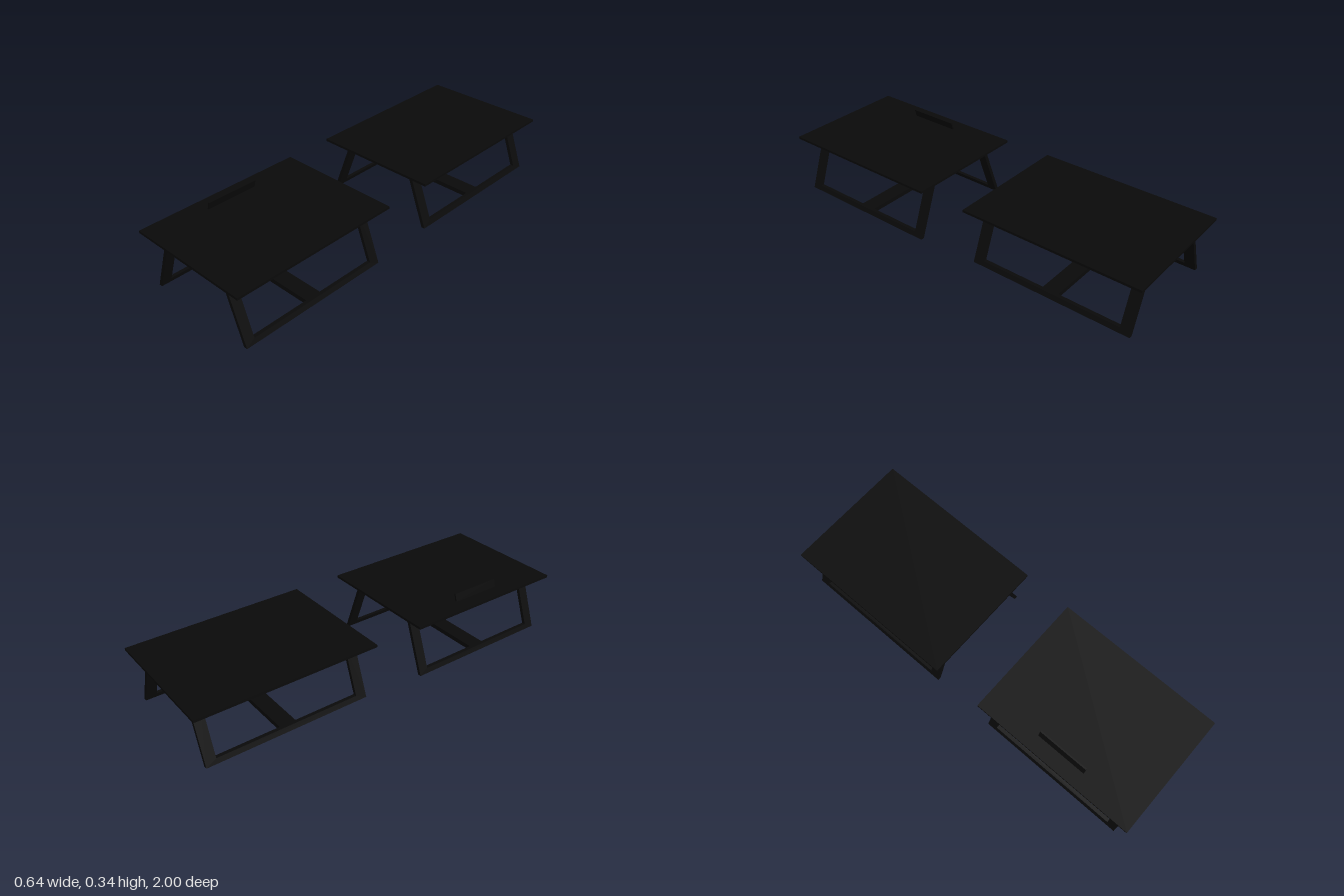
import * as THREE from 'three';

const material = new THREE.MeshStandardMaterial({ color: 0x0a0a0a, flatShading: true });

function part(name, geometry) {
  geometry.computeVertexNormals();
  const mesh = new THREE.Mesh(geometry, material);
  mesh.name = name;
  return mesh;
}

// Apply a rule to every vertex of a geometry.
function reshape(geometry, rule) {
  const p = geometry.attributes.position;
  const v = new THREE.Vector3();
  for (let i = 0; i < p.count; i++) {
    rule(v.fromBufferAttribute(p, i));
    p.setXYZ(i, v.x, v.y, v.z);
  }
  return geometry;
}

function outline(points) {
  return new THREE.Shape(points.map(([x, y]) => new THREE.Vector2(x, y)));
}

// Slab whose underside swells from a thin rim to a thicker flat middle.
function tabletop(length, top) {
  const g = new THREE.BoxGeometry(0.64, 0.024, length, 1, 2, 1);
  return part('tabletop', reshape(g, v => {
    if (v.y < -0.006) {
      v.x -= Math.sign(v.x) * 0.13;
      v.z -= Math.sign(v.z) * 0.1;
    }
    v.y += top - 0.012;
  }));
}

// U-shaped frame of two legs and a foot rail, leaning in towards the top.
function sideFrame(length, base, top, legWidth) {
  const h = length / 2, inner = h - legWidth, rail = base + 0.023, end = top - 0.012;
  const shape = outline([
    [-h, base], [h, base], [h, end], [inner, end],
    [inner, rail], [-inner, rail], [-inner, end], [-h, end],
  ]);
  const g = new THREE.ExtrudeGeometry(shape, { depth: 0.018, bevelEnabled: false });
  g.rotateY(-Math.PI / 2);
  return part('sideFrame', reshape(g, v => { v.x += 0.297 - 0.37 * (v.y - base); }));
}

// Flat cross bar joining the two foot rails.
function stretcher(base) {
  const shape = outline([
    [-0.285, base], [0.285, base], [0.276, base + 0.023], [-0.276, base + 0.023],
  ]);
  const g = new THREE.ExtrudeGeometry(shape, { depth: 0.08, bevelEnabled: false });
  return part('stretcher', g.translate(0, 0, -0.04));
}

function table(name, { z, length, frameLength, base, top, legWidth }) {
  const group = new THREE.Group();
  group.name = name;
  group.position.z = z;
  group.add(tabletop(length, top), stretcher(base));
  for (const angle of [0, Math.PI]) {
    const frame = sideFrame(frameLength, base, top, legWidth);
    frame.rotation.y = angle;
    group.add(frame);
  }
  return group;
}

export function createModel() {
  const model = new THREE.Group();
  model.name = 'tablePair';

  const front = table('frontTable', {
    z: 0.572, length: 0.856, frameLength: 0.776, base: 0, top: 0.297, legWidth: 0.048,
  });
  const back = table('backTable', {
    z: -0.552, length: 0.896, frameLength: 0.815, base: 0.022, top: 0.299, legWidth: 0.052,
  });

  // Leaning plate standing on the front table
  const plate = new THREE.ExtrudeGeometry(
    outline([[-0.245, 0.296], [-0.237, 0.296], [-0.226, 0.335], [-0.234, 0.335]]),
    { depth: 0.26, bevelEnabled: false },
  );
  front.add(part('leaningPlate', plate.translate(0, 0, -0.132)));

  model.add(front, back);
  return model;
}
